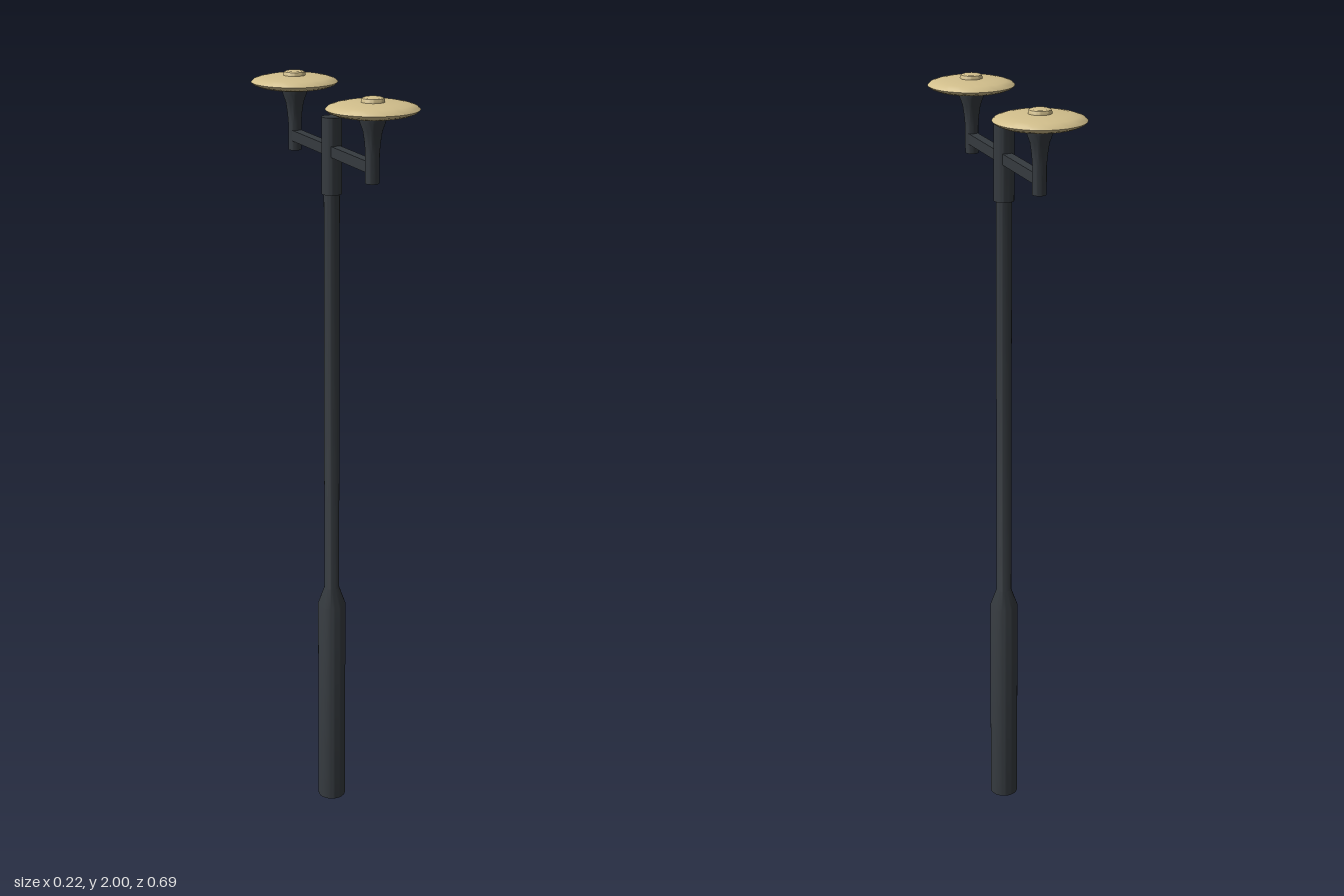
import * as THREE from 'three';
import { toCreasedNormals } from 'three/addons/utils/BufferGeometryUtils.js';

const metal = new THREE.MeshStandardMaterial({ color: 0x353a3f });
const cream = new THREE.MeshStandardMaterial({ color: 0xd2bf8c });

// Turned part from [radius, height] pairs, listed bottom to top
function turned(name, profile, material, segments = 40) {
  const points = profile.map(([r, y]) => new THREE.Vector2(r, y));
  const geometry = toCreasedNormals(new THREE.LatheGeometry(points, segments), 0.6);
  const mesh = new THREE.Mesh(geometry, material);
  mesh.name = name;
  return mesh;
}

// One lamp: flared stem, lens-shaped shade and a small cap
function createLamp(name, z) {
  const lamp = new THREE.Group();
  lamp.name = name;
  lamp.add(
    turned('lampStem', [
      [0, 1.8], [0.017, 1.8], [0.017, 1.87], [0.019, 1.895],
      [0.023, 1.922], [0.031, 1.944], [0.033, 1.96], [0, 1.96],
    ], metal),
    turned('lampShade', [
      [0, 1.957], [0.07, 1.957], [0.09, 1.961], [0.105, 1.967], [0.111, 1.973],
      [0.105, 1.979], [0.09, 1.984], [0.07, 1.988], [0, 1.99],
    ], cream, 56),
    turned('lampCap', [
      [0.028, 1.985], [0.028, 1.994], [0.026, 1.998], [0.021, 2], [0, 2],
    ], cream),
  );
  lamp.position.z = z;
  return lamp;
}

export function createModel() {
  const model = new THREE.Group();
  model.name = 'streetLamp';

  // Thick base tapering into the slender pole
  model.add(turned('pole', [
    [0, 0], [0.0375, 0], [0.0375, 0.6], [0.02, 0.65], [0.02, 1.75],
  ], metal));

  // Sleeve at the pole head
  model.add(turned('sleeve', [
    [0, 1.73], [0.0255, 1.73], [0.0255, 1.92], [0, 1.92],
  ], metal));

  // Cross arm carrying both lamps
  const arm = new THREE.Mesh(new THREE.BoxGeometry(0.025, 0.027, 0.468), metal);
  arm.name = 'crossArm';
  arm.position.y = 1.838;
  model.add(arm);

  model.add(createLamp('frontLamp', 0.234), createLamp('backLamp', -0.234));
  return model;
}
